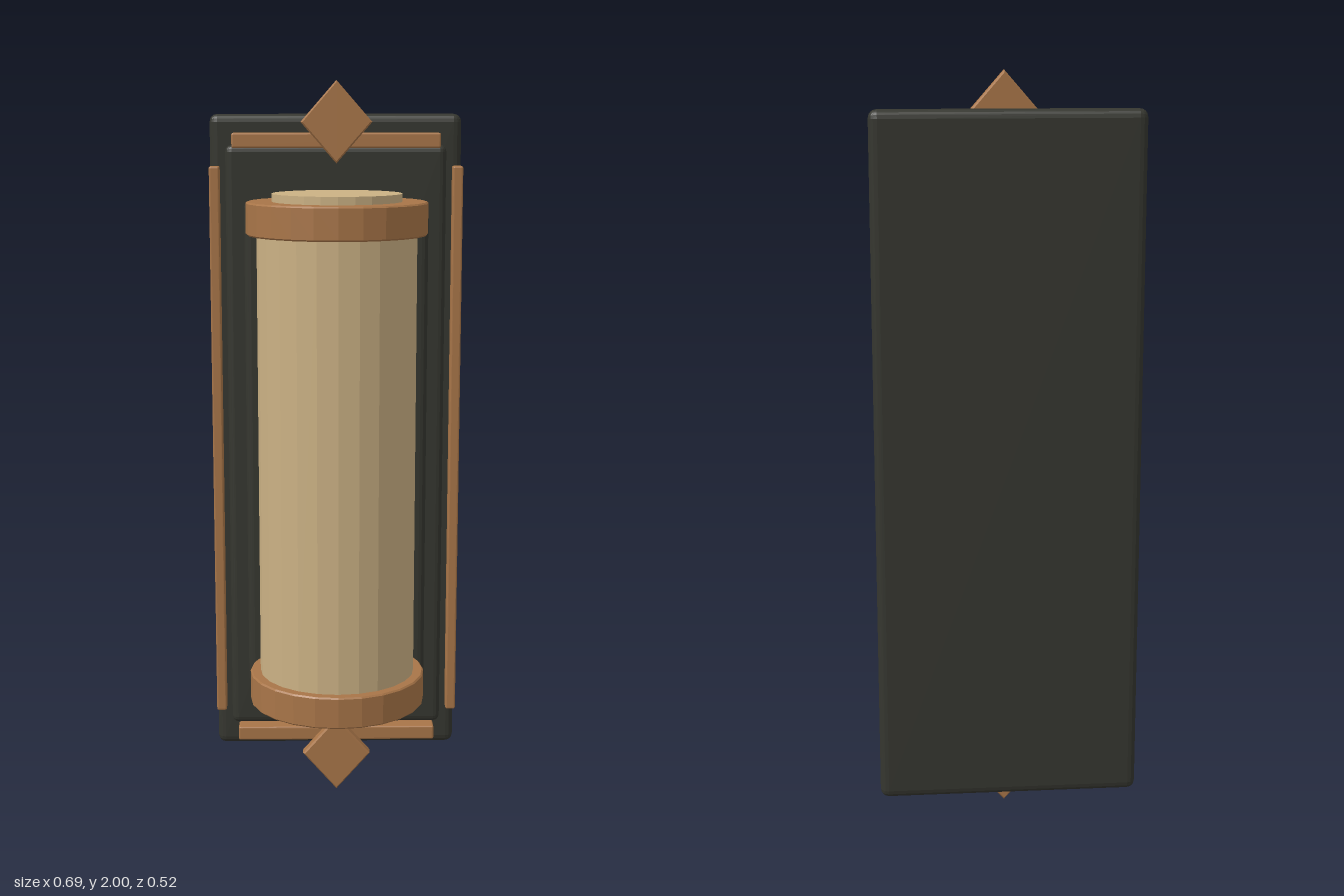
import * as THREE from 'three';
import { RoundedBoxGeometry } from 'three/addons/geometries/RoundedBoxGeometry.js';

export function createModel() {
  const model = new THREE.Group();
  model.name = 'wallLamp';

  const material = (name, color) => {
    const m = new THREE.MeshStandardMaterial({ color });
    m.name = name;
    m.flatShading = true;
    return m;
  };
  const iron = material('darkIron', 0x35362f);
  const copper = material('copper', 0xa87548);
  const glass = material('creamGlass', 0xcbb184);

  const add = (name, geometry, mat, x = 0, y = 1, z = 0) => {
    const mesh = new THREE.Mesh(geometry, mat);
    mesh.name = name;
    mesh.position.set(x, y, z);
    model.add(mesh);
    return mesh;
  };

  // Rounded bar or plate given by width, height, and its back and front z
  const plate = (name, mat, w, h, z0, z1, r, x = 0, y = 1) =>
    add(name, new RoundedBoxGeometry(w, h, z1 - z0, 2, r), mat, x, y, (z0 + z1) / 2);

  // Stepped wall plates
  plate('backPlate', iron, 0.69, 1.82, -0.26, -0.205, 0.022);
  plate('middlePlate', iron, 0.602, 1.655, -0.201, -0.157, 0.018);
  plate('frontPlate', iron, 0.496, 1.365, -0.125, -0.068, 0.018);

  // Glass tube, with a narrower core that shows at both ends
  const axisZ = 0.018;
  add('glassTube', new THREE.CylinderGeometry(0.212, 0.212, 1.22, 24), glass, 0, 1, axisZ);
  add('glassCore', new THREE.CylinderGeometry(0.172, 0.172, 1.416, 24), glass, 0, 1, axisZ);

  // Collar with slightly chamfered edges
  const c = 0.004, R = 0.24, H = 0.0435;
  const collar = new THREE.LatheGeometry([
    [0, -H], [R - c, -H], [R, -H + c], [R, H - c], [R - c, H], [0, H],
  ].map(([x, y]) => new THREE.Vector2(x, y)), 24);

  // Diamond finial
  const e = 0.006, dx = 0.096 - e, dy = 0.11 - e * 1.2;
  const diamondShape = new THREE.Shape([
    new THREE.Vector2(0, -dy), new THREE.Vector2(dx, 0),
    new THREE.Vector2(0, dy), new THREE.Vector2(-dx, 0),
  ]);
  const diamond = new THREE.ExtrudeGeometry(diamondShape, {
    depth: 0.04 - 2 * e, bevelEnabled: true, bevelSize: e * 0.7, bevelThickness: e, bevelSegments: 1,
  });
  diamond.center();

  // Mirrored trim: collars, finials and frame rails
  for (const s of [-1, 1]) {
    const end = s > 0 ? 'top' : 'bottom';
    const side = s > 0 ? 'left' : 'right';
    add(end + 'Collar', collar, copper, 0, 1 + s * 0.6435, axisZ);
    add(end + 'Diamond', diamond, copper, 0, 1 + s * 0.89, -0.093);
    plate(end + 'Rail', copper, 0.562, 0.04, -0.158, -0.107, 0.005, 0, 1 + s * 0.841);
    plate(side + 'Rail', copper, 0.028, 1.545, -0.159, -0.115, 0.005, s * 0.329);
  }
  return model;
}
